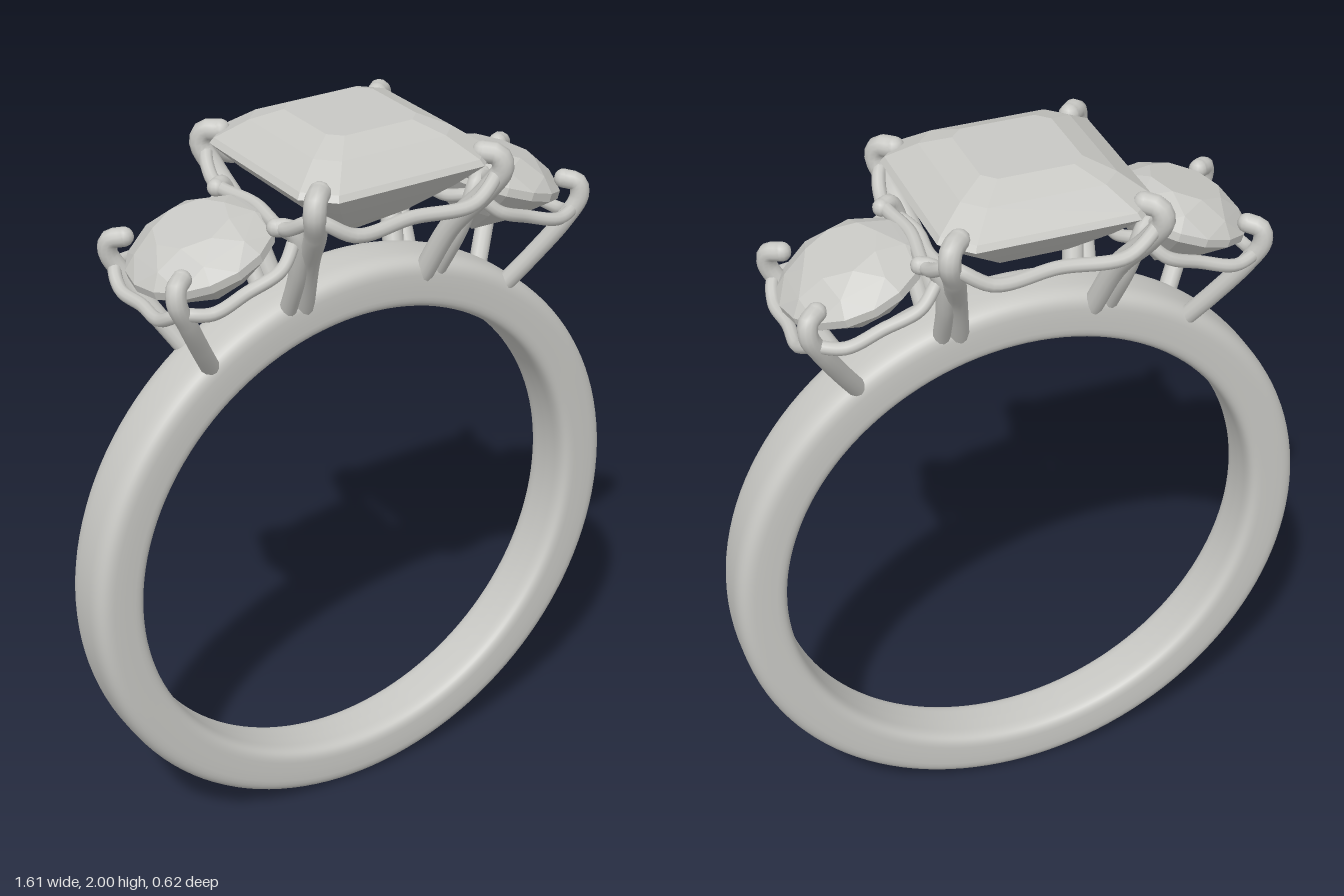
import * as THREE from 'three';
import { ConvexGeometry } from 'three/addons/geometries/ConvexGeometry.js';

const V = (x, y, z) => new THREE.Vector3(x, y, z);

export function createModel() {
  const model = new THREE.Group();
  const silver = new THREE.MeshStandardMaterial({ color: 0xc8c8c4 });
  silver.name = 'silver grey';

  const add = (name, geometry, parent = model) => {
    const mesh = new THREE.Mesh(geometry, silver);
    mesh.name = name;
    parent.add(mesh);
    return mesh;
  };

  // Band: rounded-rectangle section turned around z, slightly wider at the top
  const CY = 0.805;
  const section = [];
  const power = (v, p) => Math.sign(v) * Math.abs(v) ** p;
  for (let i = 0; i <= 40; i++) {
    const a = -Math.PI + (i / 40) * Math.PI * 2;
    const p = Math.cos(a) > 0 ? 0.55 : 0.4;
    section.push(new THREE.Vector2(0.735 + 0.07 * power(Math.cos(a), p), 0.085 * power(Math.sin(a), p)));
  }
  const bandGeometry = new THREE.LatheGeometry(section, 128).rotateX(Math.PI / 2);
  const pos = bandGeometry.attributes.position;
  for (let i = 0; i < pos.count; i++) pos.setZ(i, pos.getZ(i) * (1 + 0.07 * pos.getY(i) / CY));
  add('band', bandGeometry.translate(0, CY, 0));

  // Centre stone: step cut with clipped corners, [half width, height]
  const stepCut = [[0.13, 2.0], [0.2, 1.97], [0.27, 1.92], [0.28, 1.905], [0.22, 1.845], [0.12, 1.76]];
  const centrePoints = [V(0, 1.68, 0)];
  for (const [a, y] of stepCut) {
    const b = a * 0.75;
    for (const sx of [-1, 1]) for (const sz of [-1, 1]) {
      centrePoints.push(V(sx * a, y, sz * b), V(sx * b, y, sz * a));
    }
  }
  add('centreStone', new ConvexGeometry(centrePoints));

  // Side stone: round brilliant, rings of [radius, height, count, turn]
  const rings = [[0.1, 0.075, 8, 0], [0.155, 0.046, 8, 0.5], [0.19, 0.012, 16, 0], [0.19, -0.01, 16, 0], [0.1, -0.09, 8, 0.5]];
  const roundPoints = [V(0, -0.155, 0)];
  for (const [r, y, n, turn] of rings) {
    for (let i = 0; i < n; i++) {
      const a = ((i + turn) / n) * Math.PI * 2;
      roundPoints.push(V(r * Math.cos(a), y, r * Math.sin(a)));
    }
  }
  const brilliant = new ConvexGeometry(roundPoints);

  // Wavy gallery wire, highest at its four corners
  const gallery = (corner, cornerY, bulge, bulgeAt, bulgeY, mid, midY, radius) => {
    const points = [];
    for (let k = 0; k < 4; k++) {
      const side = [V(corner, cornerY, corner), V(bulgeAt, bulgeY, bulge), V(0, midY, mid), V(-bulgeAt, bulgeY, bulge)];
      for (const p of side) points.push(p.applyAxisAngle(V(0, 1, 0), -k * Math.PI / 2));
    }
    return new THREE.TubeGeometry(new THREE.CatmullRomCurve3(points, true), 128, radius, 10, true);
  };
  add('centreGallery', gallery(0.26, 1.865, 0.292, 0.17, 1.818, 0.276, 1.818, 0.018));
  const sideGallery = gallery(0.165, -0.02, 0.197, 0.1, -0.045, 0.192, -0.05, 0.017);

  // Tilted side settings
  for (const s of [-1, 1]) {
    const setting = new THREE.Group();
    setting.name = s > 0 ? 'leftSetting' : 'rightSetting';
    setting.position.set(s * 0.43, 1.738, 0);
    setting.rotation.z = -s * 0.33;
    add('sideStone', brilliant, setting);
    add('sideGallery', sideGallery, setting);
    model.add(setting);
  }

  // Claws: bent wires with rounded ends, mirrored to all four corners
  const claws = [
    ['centreClaw', 0.028, [[0.18, 1.54, 0.065], [0.212, 1.7, 0.145], [0.25, 1.82, 0.24], [0.272, 1.885, 0.272], [0.263, 1.917, 0.263], [0.235, 1.922, 0.235]]],
    ['outerClaw', 0.025, [[0.445, 1.44, 0.06], [0.5, 1.53, 0.108], [0.56, 1.635, 0.158], [0.593, 1.7, 0.175], [0.59, 1.735, 0.168], [0.562, 1.745, 0.145]]],
    ['innerClaw', 0.023, [[0.225, 1.54, 0.065], [0.24, 1.68, 0.14], [0.255, 1.775, 0.168], [0.275, 1.812, 0.162], [0.302, 1.815, 0.143]]],
  ];
  for (const [name, radius, path] of claws) {
    for (const sx of [-1, 1]) for (const sz of [-1, 1]) {
      const points = path.map(([x, y, z]) => V(sx * x, y, sz * z));
      const claw = new THREE.Group();
      claw.name = name;
      add('clawWire', new THREE.TubeGeometry(new THREE.CatmullRomCurve3(points), 32, radius, 12), claw);
      for (const end of [points[0], points[points.length - 1]]) {
        add('clawEnd', new THREE.SphereGeometry(radius, 12, 8), claw).position.copy(end);
      }
      model.add(claw);
    }
  }
  return model;
}
